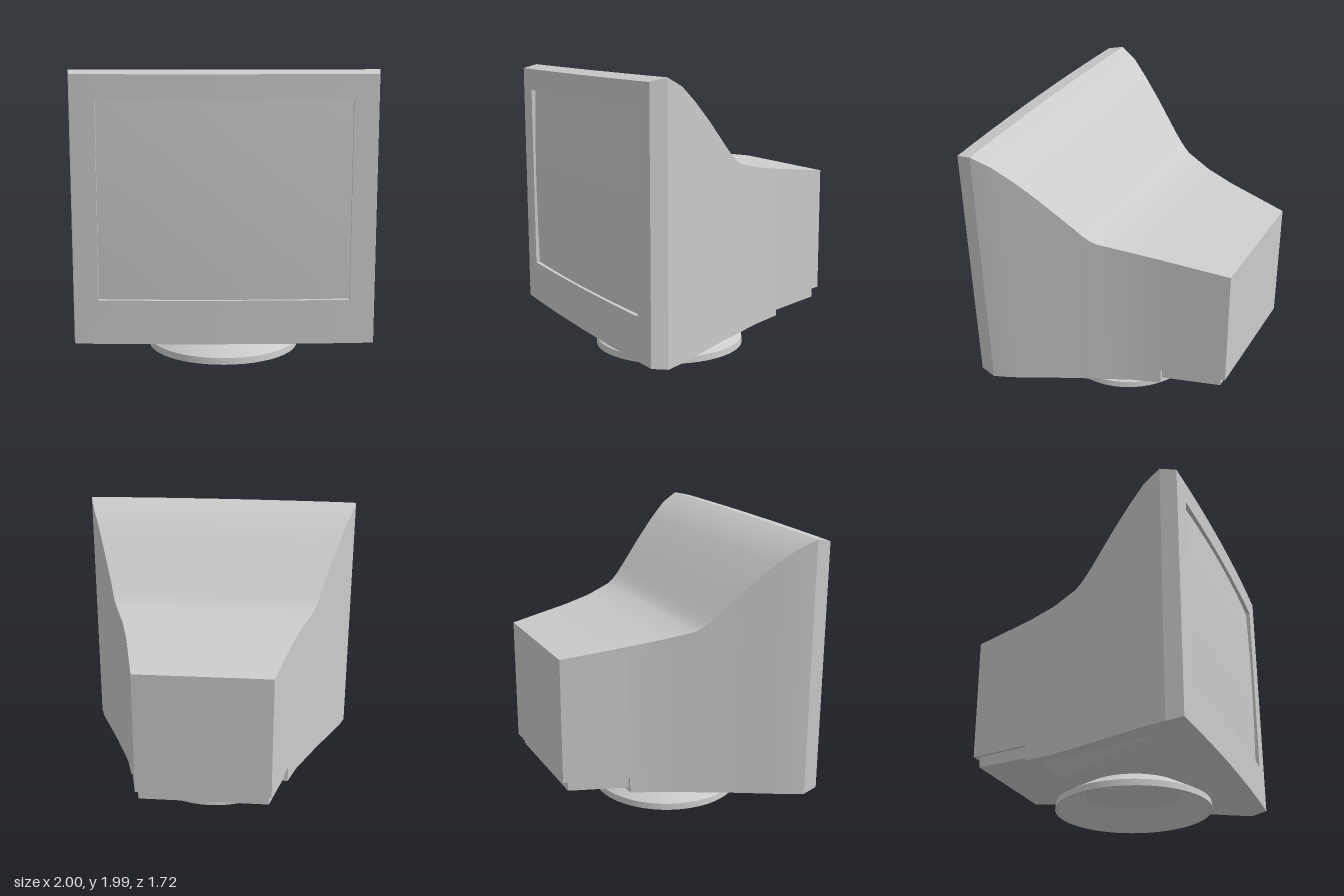
import * as THREE from 'three';
import { mergeVertices, toCreasedNormals } from 'three/addons/utils/BufferGeometryUtils.js';
import { ConvexGeometry } from 'three/addons/geometries/ConvexGeometry.js';

const SEG = 10; // divisions along each side of a cross-section

// Rectangular cross-section; z may be a number or a rule of (x, y)
function ring(w, yb, yt, z) {
  const corners = [[-w, yb], [w, yb], [w, yt], [-w, yt]];
  const points = [];
  corners.forEach(([x0, y0], i) => {
    const [x1, y1] = corners[(i + 1) % 4];
    for (let k = 0; k < SEG; k++) {
      const x = x0 + (x1 - x0) * k / SEG, y = y0 + (y1 - y0) * k / SEG;
      points.push([x, y, typeof z === 'function' ? z(x, y) : z]);
    }
  });
  return points;
}

// Skin joining successive cross-sections
function loft(rings, crease) {
  const n = rings[0].length, index = [];
  for (let i = 0; i < rings.length - 1; i++) {
    for (let j = 0; j < n; j++) {
      const a = i * n + j, b = i * n + (j + 1) % n;
      index.push(a, b, b + n, a, b + n, a + n);
    }
  }
  const geometry = new THREE.BufferGeometry();
  geometry.setAttribute('position', new THREE.Float32BufferAttribute(rings.flat(2), 3));
  geometry.setIndex(index);
  return toCreasedNormals(geometry, crease);
}

// Solid between two four-cornered outlines, each [w, y, z] for front and back
function wedge(...edges) {
  return new ConvexGeometry(edges.flatMap(([w, y, z]) =>
    [new THREE.Vector3(-w, y, z), new THREE.Vector3(w, y, z)]));
}

export function createModel() {
  const group = new THREE.Group();
  const material = new THREE.MeshStandardMaterial({ color: 0xcccccc });
  const add = (name, geometry) => {
    const mesh = new THREE.Mesh(geometry, material);
    mesh.name = name;
    group.add(mesh);
    return mesh;
  };

  // Gentle bows of the bezel and the glass
  const bezelZ = (x) => 0.835 + 0.026 * (1 - x * x);
  const rimZ = (x) => 0.725 + 0.02 * (1 - x * x);
  const screenZ = (x, y) =>
    0.85 - 0.025 * (x / 0.82) ** 2 - 0.012 * ((y - 1.155) / 0.655) ** 2;

  // Housing sections from back to front: half width, bottom, top, z
  const housing = [
    [0.463, 0.37, 1.245, -0.86],
    [0.565, 0.355, 1.303, -0.41],
    [0.565, 0.245, 1.303, -0.41],
    [0.625, 0.233, 1.337, -0.2],
    [0.705, 0.223, 1.385, 0],
    [0.722, 0.22, 1.408, 0.04],
    [0.74, 0.218, 1.445, 0.085],
    [0.76, 0.216, 1.5, 0.14],
    [0.845, 0.206, 1.7, 0.335],
    [0.905, 0.198, 1.83, 0.475],
    [0.96, 0.192, 1.93, 0.6],
    [1, 0.185, 1.99, rimZ],
  ];
  add('housing', loft(housing.map((s) => ring(...s)), 0.5));

  const back = add('backPanel', new THREE.PlaneGeometry(0.926, 0.875));
  back.rotation.y = Math.PI;
  back.position.set(0, 0.8075, -0.86);

  // Bezel: bevelled rim, front frame and screen recess
  add('bezel', loft([
    ring(1, 0.185, 1.99, rimZ),
    ring(0.98, 0.205, 1.965, bezelZ),
    ring(0.82, 0.5, 1.81, bezelZ),
    ring(0.82, 0.5, 1.81, screenZ),
  ], 0.4));

  // Curved glass
  const glass = new THREE.PlaneGeometry(1.64, 1.31, SEG, SEG).translate(0, 1.155, 0);
  const p = glass.attributes.position;
  for (let i = 0; i < p.count; i++) p.setZ(i, screenZ(p.getX(i), p.getY(i)));
  glass.computeVertexNormals();
  add('screen', glass);

  // Connector block under the rear step
  add('rearBlock', wedge(
    [0.54, 0.36, -0.405], [0.445, 0.372, -0.82],
    [0.54, 0.273, -0.405], [0.445, 0.295, -0.82]));

  // Tapered belly between the housing and the foot
  add('belly', wedge(
    [0.83, 0.195, 0.62], [0.52, 0.248, -0.325],
    [0.6, 0.146, 0.49], [0.4, 0.142, -0.2]));

  // Hollow swivel foot
  const profile = [
    [0, 0.12], [0.33, 0.12], [0.51, 0], [0.535, 0],
    [0.53, 0.045], [0.345, 0.146], [0, 0.146],
  ].map(([r, y]) => new THREE.Vector2(r, y));
  const foot = mergeVertices(new THREE.LatheGeometry(profile, 48).deleteAttribute('normal').deleteAttribute('uv'));
  add('foot', toCreasedNormals(foot, 0.4)).position.z = 0.145;

  return group;
}
